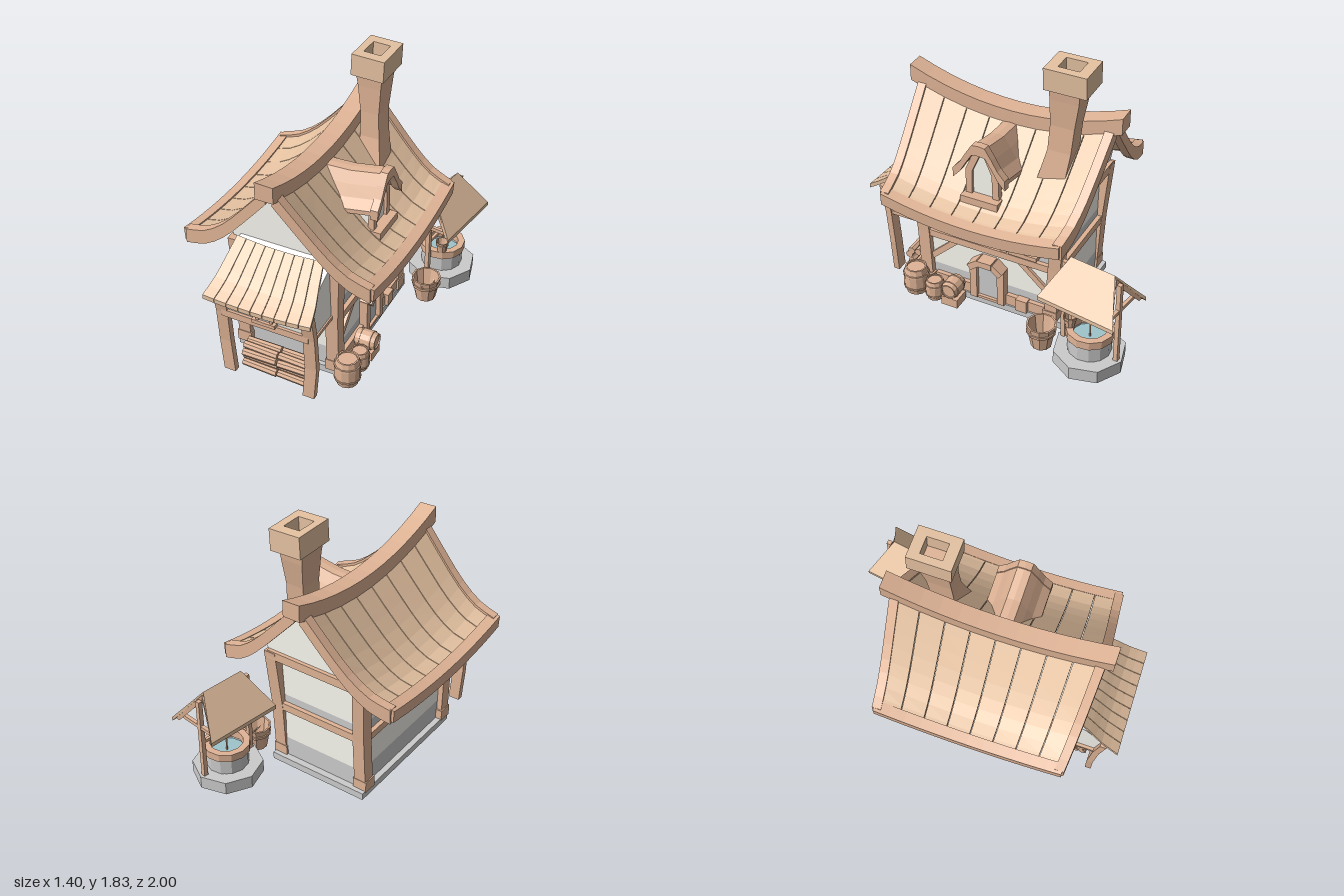
import * as THREE from 'three';

const mat = (color) => new THREE.MeshStandardMaterial({ color, flatShading: true, side: THREE.DoubleSide });
const WOOD = mat(0xe0b496), PLANK = mat(0xe6c3a2), WALL = mat(0xfaf8f0), STONE = mat(0xcccccc), WATER = mat(0x9fc4cc);
const V = (x, y, z) => new THREE.Vector3(x, y, z);
const lerp = THREE.MathUtils.lerp;

export function createModel() {
  const root = new THREE.Group();
  let target = root;
  const add = (name, geo, m) => {
    const mesh = new THREE.Mesh(geo, m);
    mesh.name = name;
    target.add(mesh);
    return mesh;
  };
  const box = (name, m, [x0, x1], [y0, y1], [z0, z1]) => {
    const b = add(name, new THREE.BoxGeometry(x1 - x0, y1 - y0, z1 - z0), m);
    b.position.set((x0 + x1) / 2, (y0 + y1) / 2, (z0 + z1) / 2);
  };
  const beam = (name, a, b, w, h) => {
    const o = add(name, new THREE.BoxGeometry(w, h, a.distanceTo(b)), WOOD);
    o.position.copy(a).lerp(b, 0.5);
    o.quaternion.setFromRotationMatrix(new THREE.Matrix4().lookAt(b, a, V(0, 1, 0)));
  };
  // Solid skinned over a row of convex rings, wound outward by its signed volume
  const loft = (name, rings, m = WOOD) => {
    const tris = [], n = rings[0].length;
    for (let i = 0; i + 1 < rings.length; i++) for (let j = 0; j < n; j++) {
      const k = (j + 1) % n, A = rings[i], B = rings[i + 1];
      tris.push([A[j], A[k], B[k]], [A[j], B[k], B[j]]);
    }
    const end = rings[rings.length - 1];
    for (let j = 1; j + 1 < n; j++) tris.push([rings[0][0], rings[0][j + 1], rings[0][j]], [end[0], end[j], end[j + 1]]);
    const c = rings[0][0], s = (p) => p.clone().sub(c);
    const vol = tris.reduce((t, [p, q, r]) => t + s(p).dot(s(q).cross(s(r))), 0);
    const pts = tris.flatMap(([p, q, r]) => (vol < 0 ? [p, r, q] : [p, q, r]));
    const g = new THREE.BufferGeometry().setFromPoints(pts);
    g.computeVertexNormals();
    add(name, g, m);
  };
  // Bent board: fn(u, s) gives the top surface, s = 0 and 1 are its two edges
  const board = (name, fn, th, n = 8, m = PLANK) => loft(name, Array.from({ length: n + 1 }, (_, i) => {
    const a = fn(i / n, 0), b = fn(i / n, 1);
    return [a, b, b.clone().setY(b.y - th), a.clone().setY(a.y - th)];
  }), m);
  // Upright post through points, square in plan
  const post = (name, pts, wx, wz) => loft(name, pts.map((p) =>
    [[-1, -1], [1, -1], [1, 1], [-1, 1]].map(([i, j]) => V(p.x + i * wx / 2, p.y, p.z + j * wz / 2))));
  const extrude = (name, shape, depth, m) => add(name, new THREE.ExtrudeGeometry(shape, { depth, bevelEnabled: false, curveSegments: 6 }), m);
  const poly = (pts) => new THREE.Shape(pts.map(([x, y]) => new THREE.Vector2(x, y)));
  const lathe = (name, pts, sides, m) => add(name, new THREE.LatheGeometry(pts.map(([x, y]) => new THREE.Vector2(x, y)), sides), m);

  // ---- Foundation and walls, with a grey band along the foot of each storey
  box('foundation', STONE, [-0.41, 0.31], [0, 0.05], [-0.43, 0.6]);
  for (const [y0, y1, y2] of [[0.05, 0.19, 0.44], [0.44, 0.54, 0.88]]) {
    box('wallFoot', STONE, [-0.37, 0.275], [y0, y1], [-0.385, 0.57]);
    box('wall', WALL, [-0.37, 0.275], [y1, y2], [-0.385, 0.57]);
  }
  for (const x of [-0.365, 0.27]) for (const z of [-0.35, 0.56]) {
    const o = Math.sign(x) * 0.02, q = z < 0 ? -0.06 : 0.04;
    post('cornerPost', [V(x, 0.04, z), V(x, 0.45, z + q * 0.4), V(x + o, 0.88, z + q)], 0.085, 0.085);
    box('postFoot', WOOD, [x - 0.05, x + 0.05], [0.04, 0.12], [z - 0.05, z + 0.05]);
  }
  for (const x of [-0.375, 0.28]) {
    box('sideBeam', WOOD, [x - 0.025, x + 0.025], [0.42, 0.47], [-0.37, 0.56]);
    box('topBeam', WOOD, [x - 0.025, x + 0.025], [0.78, 0.84], [-0.4, 0.58]);
  }
  box('backBeam', WOOD, [-0.37, 0.28], [0.43, 0.485], [-0.415, -0.36]);
  box('backTopBeam', WOOD, [-0.4, 0.31], [0.83, 0.89], [-0.45, -0.38]);
  for (const z of [0.22, -0.01]) box('stud', WOOD, [0.26, 0.3], [0.46, 0.8], [z - 0.022, z + 0.022]);
  beam('brace', V(0.28, 0.25, 0.53), V(0.28, 0.43, 0.34), 0.03, 0.04);
  beam('brace', V(0.28, 0.43, -0.12), V(0.28, 0.26, -0.31), 0.03, 0.04);

  // ---- Main roof: swept slopes that sag towards the middle
  const RX = -0.06;
  const slope = { 1: [[-0.04, 1.4], [0.14, 1.2], [0.3, 1.03], [0.43, 0.925], [0.57, 0.87]], [-1]: [[-0.08, 1.4], [-0.25, 1.2], [-0.4, 1.04], [-0.54, 0.94], [-0.68, 0.9]] };
  const curve = {};
  for (const s of [1, -1]) curve[s] = new THREE.CatmullRomCurve3(slope[s].map(([x, y]) => V(x, y, 0)));
  const roof = (s, u, t) => {
    const p = curve[s].getPoint(u);
    return V(p.x, p.y - lerp(0.115, s > 0 ? 0.07 : 0.055, u) * (1 - t * t), lerp(0.075, 0.085, u) + t * lerp(0.655, 0.6, u));
  };
  const ts = Array.from({ length: 13 }, (_, i) => -1 + i / 6);
  for (const s of [1, -1]) {
    for (let i = 0; i < 8; i++) board('roofPlank', (u, e) => roof(s, u, -1 + (i + e) / 4 + (e ? -0.004 : 0.004)), 0.03);
    for (const t of [1, -1]) board('rakeBoard', (u, e) => roof(s, u, t).add(V(0, 0.012, t * (e * 0.06 - 0.03))), 0.1, 8, WOOD);
    loft('eaveBeam', ts.map((t) => {
      const p = roof(s, 1, t * 1.03);
      return [[-0.05, 0.02], [0.02, 0.005], [0.015, -0.08], [-0.045, -0.065]].map(([x, y]) => V(p.x + s * x, p.y + y, p.z));
    }));
  }
  loft('ridgeBeam', ts.map((t) => {
    const y = 1.335 + 0.145 * t * t;
    return [[-0.06, 0.005], [0.06, 0], [0.06, -0.11], [-0.06, -0.11]].map(([x, h]) => V(RX + x, y + h, 0.075 + t * 0.735));
  }));
  // Gable walls follow the underside of the slopes
  for (const z of [0.58, -0.41]) {
    const at = (s, u) => { const p = roof(s, u, (z - 0.08) / 0.63); return [p.x, p.y - 0.03]; };
    const us = [0, 0.15, 0.3, 0.45, 0.58];
    const g = extrude('gableWall', poly([...us.map((u) => at(1, u)), [0.29, 0.84], [-0.385, 0.84], ...us.slice().reverse().map((u) => at(-1, u))]), 0.03, WALL);
    g.position.z = z - 0.015;
  }

  // ---- Chimney with a hollow cap
  const sq = (y, x0, x1, z0, z1) => [V(x0, y, z0), V(x1, y, z0), V(x1, y, z1), V(x0, y, z1)];
  loft('chimneyShaft', [sq(0.95, 0.0, 0.22, -0.375, -0.17), sq(1.05, 0.02, 0.205, -0.38, -0.2), sq(1.25, 0.04, 0.17, -0.405, -0.25),
    sq(1.42, 0.035, 0.16, -0.42, -0.26), sq(1.6, 0.015, 0.17, -0.45, -0.26), sq(1.7, 0.0, 0.18, -0.46, -0.255)]);
  const cap = poly([[-0.11, -0.14], [0.11, -0.14], [0.11, 0.14], [-0.11, 0.14]]);
  cap.holes.push(poly([[-0.06, -0.07], [0.055, -0.07], [0.055, 0.07], [-0.06, 0.07]]));
  const capMesh = extrude('chimneyCap', cap, 0.145, PLANK);
  capMesh.rotation.set(-Math.PI / 2, 0.04, 0);
  capMesh.position.set(0.088, 1.675, -0.37);

  // ---- Dormer on the right slope
  const DZ = 0.1;
  const wallShape = [[-0.1, 0.82], [0.1, 0.82], [0.1, 1.08], [0.03, 1.22], [-0.03, 1.22], [-0.1, 1.08]];
  const dormerWall = extrude('dormerWall', poly(wallShape), 0.28, WALL);
  dormerWall.rotation.y = Math.PI / 2;
  dormerWall.position.set(0.06, 0, DZ);
  const fall = [[0, 0], [0.045, 0.005], [0.09, 0.075], [0.13, 0.145], [0.18, 0.2]];
  for (const s of [1, -1]) {
    const edge = (x, top) => (u) => { const [w, d] = fall[Math.round(u * 4)]; return V(x, top - d, DZ - 0.005 + s * w); };
    const [back, mid, front] = [edge(-0.02, 1.25), edge(0.16, 1.255), edge(0.39, 1.295)];
    board('dormerRoof', (u, e) => (e ? mid(u) : back(u)), 0.03, 4, WOOD);
    board('dormerRoof', (u, e) => (e ? front(u) : mid(u)), 0.03, 4, WOOD);
    board('dormerTrim', (u, e) => edge(0.36 + 0.05 * e, 1.303)(u), 0.07, 4, WOOD);
    beam('dormerJamb', V(0.34, 0.86, DZ + s * 0.095), V(0.34, 1.08, DZ + s * 0.09), 0.04, 0.045);
    beam('dormerJamb', V(0.34, 1.07, DZ + s * 0.095), V(0.34, 1.22, DZ + s * 0.03), 0.04, 0.045);
  }
  box('dormerSill', WOOD, [0.3, 0.41], [0.86, 0.91], [DZ - 0.13, DZ + 0.13]);

  // ---- Door and arched window on the right wall
  const arch = (w, h) => new THREE.Shape().moveTo(w, 0).lineTo(w, h).absarc(0, h, w, 0, Math.PI).lineTo(-w, 0).closePath();
  const onRight = (mesh, x, y, z) => { mesh.rotation.y = Math.PI / 2; mesh.position.set(x, y, z); };
  const frame = arch(0.085, 0.1);
  frame.holes.push(arch(0.055, 0.1));
  onRight(extrude('windowFrame', frame, 0.045, WOOD), 0.265, 0.53, -0.16);
  onRight(extrude('windowPane', arch(0.06, 0.1), 0.02, STONE), 0.265, 0.53, -0.16);
  box('windowSill', WOOD, [0.27, 0.33], [0.495, 0.525], [-0.26, -0.06]);
  box('door', STONE, [0.27, 0.3], [0.06, 0.35], [0.01, 0.2]);
  for (const s of [1, -1]) {
    box('doorJamb', WOOD, [0.27, 0.33], [0.05, 0.32], [0.1 + s * 0.1 - 0.025, 0.1 + s * 0.1 + 0.025]);
    beam('doorArch', V(0.315, 0.31, 0.1 + s * 0.115), V(0.315, 0.365, 0.1 + s * 0.045), 0.09, 0.045);
    box('sillBeam', WOOD, [0.27, 0.305], [0.055, 0.13], s > 0 ? [0.22, 0.5] : [-0.32, -0.03]);
  }
  box('doorKeystone', WOOD, [0.27, 0.365], [0.34, 0.385], [0.05, 0.15]);
  box('doorStep', WOOD, [0.27, 0.32], [0.045, 0.065], [0, 0.2]);
  box('doorBlock', WOOD, [0.28, 0.33], [0.05, 0.14], [-0.19, -0.11]);

  // ---- Overhanging front bay on posts, with its own plank roof
  const bay = extrude('bayWall', poly([[-0.56, 0.48], [-0.86, 0.48], [-0.89, 0.68], [-0.76, 0.83], [-0.56, 0.92]]), 0.63, WALL);
  onRight(bay, -0.36, 0, 0);
  const bayCurve = new THREE.CatmullRomCurve3([V(0, 0.95, 0.67), V(0, 0.85, 0.78), V(0, 0.765, 0.87), V(0, 0.7, 0.985)]);
  for (let i = 0; i < 9; i++) board('bayRoofPlank', (u, e) => {
    const p = bayCurve.getPoint(u), c = ((i + e) / 9 + (e ? -0.0025 : 0.0025)) * 2 - 1;
    return V(-0.045 + c * lerp(0.295, 0.36, u), p.y - 0.02 * (1 - c * c), p.z + 0.01 * u * -c);
  }, 0.03, 6);
  for (const x of [-0.35, 0.25]) {
    post('bayPost', [V(x - 0.02 * Math.sign(x), 0.01, 0.84), V(x, 0.25, 0.84), V(x, 0.5, 0.86), V(x, 0.69, 0.895)], 0.08, 0.042);
    box('baySideBeam', WOOD, [x - 0.03, x + 0.03], [0.48, 0.505], [0.58, 0.86]);
  }
  box('bayFrontBeam', WOOD, [-0.35, 0.25], [0.475, 0.525], [0.83, 0.885]);
  box('bayWindow', STONE, [-0.085, 0.0], [0.55, 0.65], [0.86, 0.892]);
  for (const x of [-0.09, 0.005]) box('bayWindowJamb', WOOD, [x - 0.009, x + 0.009], [0.54, 0.67], [0.86, 0.9]);
  box('bayWindowSill', WOOD, [-0.125, 0.035], [0.525, 0.55], [0.86, 0.91]);

  // ---- Firewood, two stacks beneath the bay
  for (const x of [-0.16, 0.09]) for (let r = 0; r < 4; r++) for (let c = 0; c < (r < 2 ? 2 : 1 + (r & 1)); c++) {
    const log = add('log', new THREE.CylinderGeometry(0.025, 0.027, 0.24, 7), WOOD);
    log.rotation.set(0, 0, Math.PI / 2 + 0.03 * ((r + c) % 3 - 1));
    log.position.set(x, 0.027 + r * 0.043, 0.77 - c * 0.052 - (r & 1) * 0.02);
  }

  // ---- Barrels and crate beside the wall
  const barrel = (r, h) => {
    const g = new THREE.Group(), old = target;
    g.name = 'barrel';
    old.add(g);
    target = g;
    lathe('staves', [[0, 0], [r * 0.8, 0], [r * 0.97, h * 0.3], [r * 0.97, h * 0.7], [r * 0.82, h], [r * 0.7, h], [r * 0.7, h * 0.94], [0, h * 0.94]], 12, WOOD);
    for (const y of [0.2, 0.72]) lathe('hoop', [[r * 0.9, h * y], [r, h * (y + 0.01)], [r, h * (y + 0.07)], [r * 0.9, h * (y + 0.08)]], 12, WOOD);
    target = old;
    return g;
  };
  barrel(0.088, 0.195).position.set(0.378, 0, 0.61);
  barrel(0.067, 0.145).position.set(0.39, 0, 0.46);
  const lying = barrel(0.066, 0.14);
  lying.rotation.z = -Math.PI / 2;
  lying.position.set(0.31, 0.125, 0.325);
  box('crate', WOOD, [0.32, 0.44], [0, 0.065], [0.265, 0.385]);

  // ---- Buckets with a rope handle
  const bucket = (r, h, x, y, z) => {
    lathe('bucket', [[0, 0], [r * 0.68, 0], [r, h], [r * 0.88, h], [r * 0.62, h * 0.12], [0, h * 0.12]], 10, WOOD).position.set(x, y, z);
    lathe('bucketHoop', [[r * 0.9, h * 0.62], [r * 0.97, h * 0.63], [r, h * 0.75], [r * 0.93, h * 0.76]], 10, WOOD).position.set(x, y, z);
    const handle = add('bucketHandle', new THREE.TorusGeometry(r * 0.95, r * 0.05, 5, 10, Math.PI), WOOD);
    handle.position.set(x, y + h * 0.93, z);
    handle.rotation.set(Math.PI * 0.85, Math.PI / 2, 0, 'YXZ');
  };
  bucket(0.1, 0.17, 0.49, 0, -0.38);

  // ---- Well with a plank roof, turned slightly
  const well = new THREE.Group();
  well.name = 'well';
  well.position.set(0.47, 0, -0.705);
  well.rotation.y = -0.15;
  root.add(well);
  target = well;
  lathe('wellBase', [[0.14, 0], [0.232, 0], [0.232, 0.09], [0.14, 0.09], [0.14, 0]], 8, STONE);
  lathe('wellDrum', [[0.14, 0.08], [0.14, 0.21], [0.12, 0.21], [0.12, 0.08], [0.14, 0.08]], 12, STONE);
  lathe('wellRim', [[0.11, 0.2], [0.155, 0.2], [0.155, 0.255], [0.11, 0.255], [0.11, 0.2]], 12, WOOD);
  lathe('water', [[0.121, 0.18], [0, 0.18]], 12, WATER);
  for (const e of [1, -1]) {
    box('wellPost', WOOD, [-0.015, 0.015], [0.09, 0.68], [e * 0.195 - 0.015, e * 0.195 + 0.015]);
    box('wellTie', WOOD, [-0.17, 0.17], [0.47, 0.495], [e * 0.195 - 0.012, e * 0.195 + 0.012]);
    for (const s of [1, -1]) beam('wellRafter', V(s * 0.17, 0.485, e * 0.235), V(0, 0.695, e * 0.15), 0.03, 0.03);
  }
  for (const s of [1, -1]) for (let i = 0; i < 6; i++) board('wellRoofPlank', (u, e) =>
    V(s * 0.19 * u, 0.73 - 0.235 * u, ((i + e) / 3 - 1) * lerp(0.155, 0.27, u)), 0.028, 1);
  beam('windlass', V(0, 0.355, -0.2), V(0, 0.355, 0.2), 0.02, 0.02);
  box('rope', WOOD, [-0.004, 0.004], [0.18, 0.355], [-0.004, 0.004]);
  bucket(0.045, 0.08, 0.06, 0.255, 0.11);

  return root;
}
